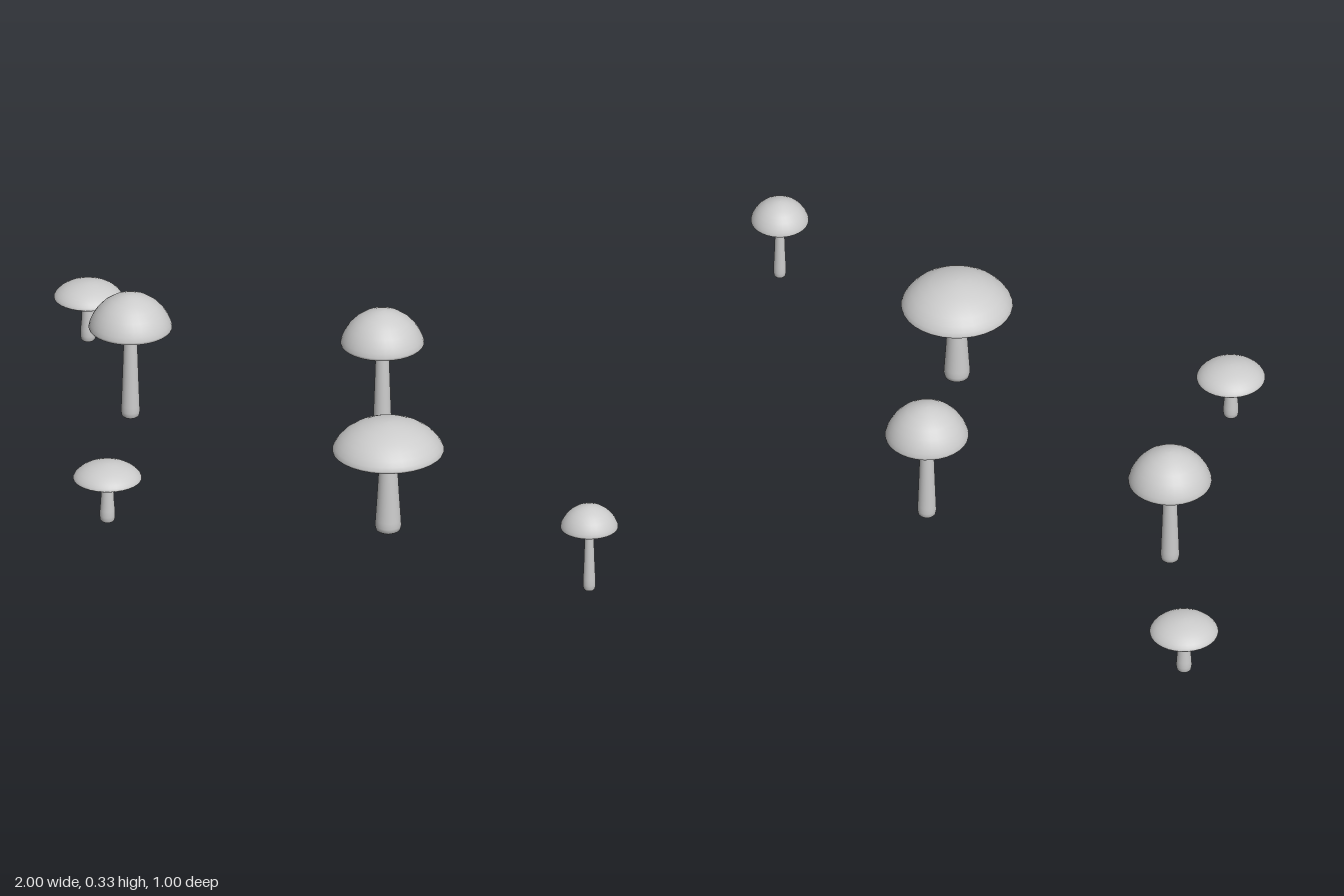
import * as THREE from 'three';

const material = new THREE.MeshStandardMaterial({ color: 0xcccccc, side: THREE.DoubleSide });
const SEGMENTS = 32;

function lathe(name, points) {
  const profile = points.map(([r, y]) => new THREE.Vector2(r, y));
  const mesh = new THREE.Mesh(new THREE.LatheGeometry(profile, SEGMENTS), material);
  mesh.name = name;
  return mesh;
}

// Stem: rounded foot, gentle taper, narrow neck running into the cap
function makeStem({ foot, waist, neck, ringY, capY }) {
  return lathe('stem', [
    [0, 0], [foot * 0.75, 0.005], [foot * 0.92, 0.009], [foot, 0.02], [foot * 0.97, 0.035],
    [foot * 0.5 + waist * 0.5, ringY * 0.5], [waist, ringY - 0.01],
    [neck, ringY], [neck, capY + 0.008],
  ]);
}

// Ring: rounded bead around the neck
function makeRing({ ring, neck, ringY, ringH }) {
  const h = ringH / 2;
  const points = [];
  for (let i = 0; i <= 8; i++) {
    const a = -Math.PI / 2 + (i / 8) * Math.PI;
    points.push([neck * 0.9 + (ring - neck * 0.9) * Math.cos(a), ringY + h * Math.sin(a)]);
  }
  return lathe('ring', points);
}

// Cap: domed top with a thin rolled rim
function makeCap({ radius, capY, top }) {
  const dome = [[0.97, 0], [0.995, 0.03], [1, 0.08], [0.97, 0.2], [0.91, 0.35], [0.81, 0.53],
    [0.66, 0.71], [0.47, 0.86], [0.25, 0.96], [0.1, 0.993], [0, 1]];
  return lathe('cap', dome.map(([r, y]) => [r * radius, capY + y * (top - capY)]));
}

// Gills: shallow hollow underside, kept separate for a crisp rim
function makeGills({ radius, capY }) {
  return lathe('gills', [[0, capY + 0.006], [radius * 0.5, capY + 0.005], [radius * 0.97, capY]]);
}

const KINDS = {
  tall: { radius: 0.101, capY: 0.238, top: 0.327, foot: 0.023, waist: 0.0165, neck: 0.014,
    ring: 0.024, ringY: 0.214, ringH: 0.026 },
  broad: { radius: 0.135, capY: 0.215, top: 0.294, foot: 0.032, waist: 0.022, neck: 0.02,
    ring: 0.033, ringY: 0.194, ringH: 0.026 },
  flat: { radius: 0.083, capY: 0.117, top: 0.158, foot: 0.019, waist: 0.0145, neck: 0.013,
    ring: 0.018, ringY: 0.106, ringH: 0.013 },
  slender: { radius: 0.07, capY: 0.169, top: 0.228, foot: 0.0155, waist: 0.011, neck: 0.0095,
    ring: 0.016, ringY: 0.156, ringH: 0.016 },
};

function makeMushroom(kind) {
  const size = KINDS[kind];
  const group = new THREE.Group();
  group.name = kind + 'Mushroom';
  group.add(makeStem(size), makeRing(size), makeCap(size), makeGills(size));
  return group;
}

export function createModel() {
  const model = new THREE.Group();
  model.name = 'mushrooms';
  // Kind and ground position of each mushroom
  const layout = [
    ['flat', -0.915, -0.34],
    ['flat', -0.21, 0.415],
    ['tall', -0.555, -0.075],
    ['tall', -0.035, -0.4],
    ['broad', 0.34, 0.018],
    ['slender', 0.927, -0.04],
  ];
  for (const [kind, x, z] of layout) {
    const mushroom = makeMushroom(kind);
    mushroom.position.set(x, 0, z);
    model.add(mushroom);
  }
  return model;
}
